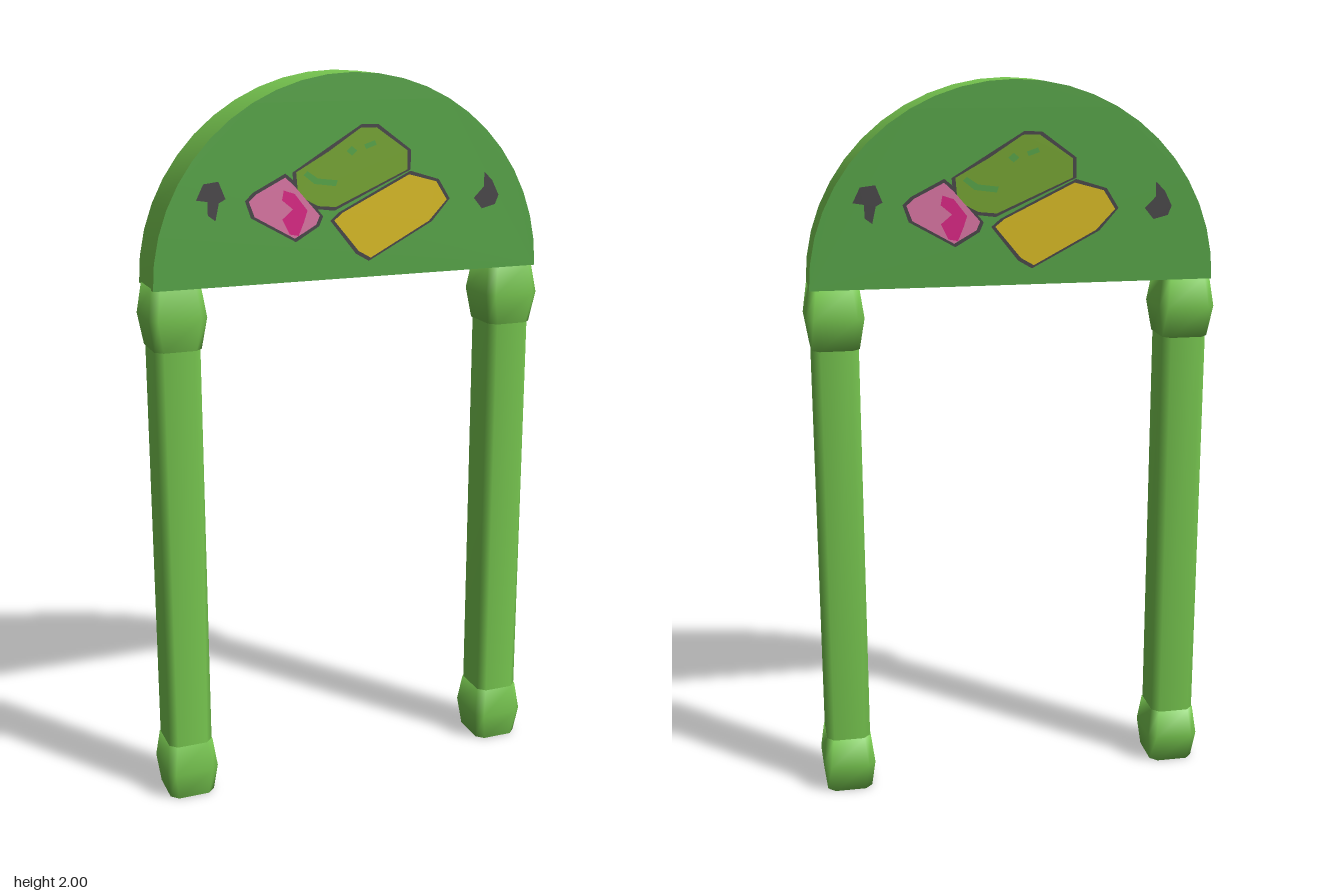
import * as THREE from 'three';
import { mergeVertices, toCreasedNormals } from 'three/addons/utils/BufferGeometryUtils.js';

const mat = (name, color, extra = {}) => {
  const m = new THREE.MeshStandardMaterial({ color, ...extra });
  m.name = name;
  return m;
};

// Soft post made of stacked chamfered rectangles, rows: [y, halfX, halfZ]
function loftPost(rows, chamfer) {
  const pos = [], idx = [], n = 8;
  for (const [y, hx, hz] of rows) {
    const a = hx - chamfer, b = hz - chamfer;
    for (const [x, z] of [[hx, b], [a, hz], [-a, hz], [-hx, b], [-hx, -b], [-a, -hz], [a, -hz], [hx, -b]]) pos.push(x, y, z);
  }
  for (let r = 0; r < rows.length - 1; r++) {
    for (let i = 0; i < n; i++) {
      const a = r * n + i, b = r * n + (i + 1) % n;
      idx.push(a, a + n, b, b, a + n, b + n);
    }
  }
  // End caps
  const top = (rows.length - 1) * n;
  for (let i = 1; i < n - 1; i++) idx.push(0, i, i + 1, top, top + i + 1, top + i);
  const g = new THREE.BufferGeometry();
  g.setAttribute('position', new THREE.Float32BufferAttribute(pos, 3));
  g.setIndex(idx);
  const merged = mergeVertices(g);
  merged.computeVertexNormals();
  return merged;
}

export function createModel() {
  const root = new THREE.Group();
  root.name = 'archway';
  const frameGreen = mat('frameGreen', 0x78c850);
  const panelGreen = mat('panelGreen', 0x58a848);
  const outline = mat('darkOutline', 0x4a484a);
  const yellow = mat('yellowPaint', 0xdec022);
  const olive = mat('olivePaint', 0x78a830);
  const pink = mat('pinkPaint', 0xe078a8);
  const magenta = mat('magentaPaint', 0xe02488);

  const add = (parent, name, geo, material) => {
    const m = new THREE.Mesh(geo, material);
    m.name = name;
    parent.add(m);
    return m;
  };

  // Two legs, each with a swollen foot and joint
  for (const side of [-1, 1]) {
    const leg = new THREE.Group();
    leg.name = side > 0 ? 'leftLeg' : 'rightLeg';
    leg.position.x = side * 0.484;
    add(leg, 'post', loftPost([[0.1, 0.062, 0.068], [1.36, 0.062, 0.068]], 0.02), frameGreen);
    add(leg, 'foot', loftPost([[0, 0.064, 0.07], [0.08, 0.074, 0.083], [0.16, 0.064, 0.07]], 0.02), frameGreen);
    add(leg, 'joint', loftPost([[1.3, 0.064, 0.074], [1.385, 0.078, 0.085], [1.468, 0.067, 0.07]], 0.02), frameGreen);
    root.add(leg);
  }

  // Half-round sign: darker faces, lighter rim
  const D = 0.073, base = 1.463;
  const arch = new THREE.Shape();
  for (let i = 0; i <= 24; i++) {
    const t = (i / 24) * Math.PI;
    const x = 0.55 * Math.cos(t), y = base + (2 - base) * Math.sin(t);
    if (i) arch.lineTo(x, y); else arch.moveTo(x, y);
  }
  arch.closePath();
  const signGeo = new THREE.ExtrudeGeometry(arch, { depth: 2 * D, bevelEnabled: false });
  signGeo.translate(0, 0, -D);
  add(root, 'archSign', toCreasedNormals(signGeo, 0.6), [panelGreen, frameGreen]);

  // Painted picture: the same on both faces
  const plate = (parent, name, pts, material, layer, grow = 0) => {
    const cx = pts.reduce((s, p) => s + p[0], 0) / pts.length;
    const cy = pts.reduce((s, p) => s + p[1], 0) / pts.length;
    const shape = new THREE.Shape(pts.map(([x, y]) => {
      const d = Math.hypot(x - cx, y - cy);
      return new THREE.Vector2(x + (x - cx) / d * grow, y + (y - cy) / d * grow);
    }));
    add(parent, name, new THREE.ShapeGeometry(shape), material).position.z = D + 0.0012 * layer;
  };
  const yellowPts = [[-0.055, 1.62], [-0.03, 1.64], [0.16, 1.732], [0.24, 1.71], [0.272, 1.66], [0.22, 1.605], [0.05, 1.515], [0.015, 1.535]];
  const olivePts = [[-0.16, 1.75], [-0.07, 1.8], [0.02, 1.858], [0.065, 1.858], [0.155, 1.795], [0.155, 1.745], [-0.05, 1.655], [-0.1, 1.66], [-0.155, 1.69]];
  const pinkPts = [[-0.29, 1.68], [-0.27, 1.698], [-0.19, 1.738], [-0.165, 1.715], [-0.095, 1.635], [-0.105, 1.612], [-0.165, 1.578], [-0.275, 1.64]];
  const stripePts = [[-0.195, 1.705], [-0.165, 1.695], [-0.13, 1.65], [-0.14, 1.62], [-0.155, 1.585], [-0.18, 1.59], [-0.2, 1.63], [-0.17, 1.655], [-0.2, 1.68]];
  const rightSpot = [[-0.43, 1.69], [-0.41, 1.73], [-0.37, 1.735], [-0.352, 1.69], [-0.37, 1.68], [-0.38, 1.635], [-0.4, 1.65], [-0.4, 1.685]];
  const leftSpot = [[0.385, 1.73], [0.41, 1.705], [0.43, 1.665], [0.42, 1.64], [0.38, 1.63], [0.355, 1.66], [0.385, 1.69]];
  const flecks = [
    [[-0.02, 1.8], [-0.005, 1.812], [0.01, 1.8], [-0.005, 1.787]],
    [[-0.14, 1.742], [-0.11, 1.718], [-0.05, 1.71], [-0.045, 1.725], [-0.1, 1.732], [-0.13, 1.752]],
    [[0.03, 1.815], [0.06, 1.825], [0.065, 1.813], [0.035, 1.803]],
  ];

  for (const face of ['front', 'back']) {
    const art = new THREE.Group();
    art.name = face + 'Picture';
    plate(art, 'pinkOutline', pinkPts, outline, 1, 0.01);
    plate(art, 'oliveOutline', olivePts, outline, 1, 0.01);
    plate(art, 'yellowOutline', yellowPts, outline, 1, 0.01);
    plate(art, 'pinkPatch', pinkPts, pink, 2);
    plate(art, 'magentaStripe', stripePts, magenta, 3);
    plate(art, 'olivePatch', olivePts, olive, 2);
    flecks.forEach((f) => plate(art, 'greenFleck', f, panelGreen, 3));
    plate(art, 'yellowPatch', yellowPts, yellow, 3);
    plate(art, 'rightSpot', rightSpot, outline, 1);
    plate(art, 'leftSpot', leftSpot, outline, 1);
    if (face === 'back') art.rotation.y = Math.PI;
    root.add(art);
  }
  return root;
}
